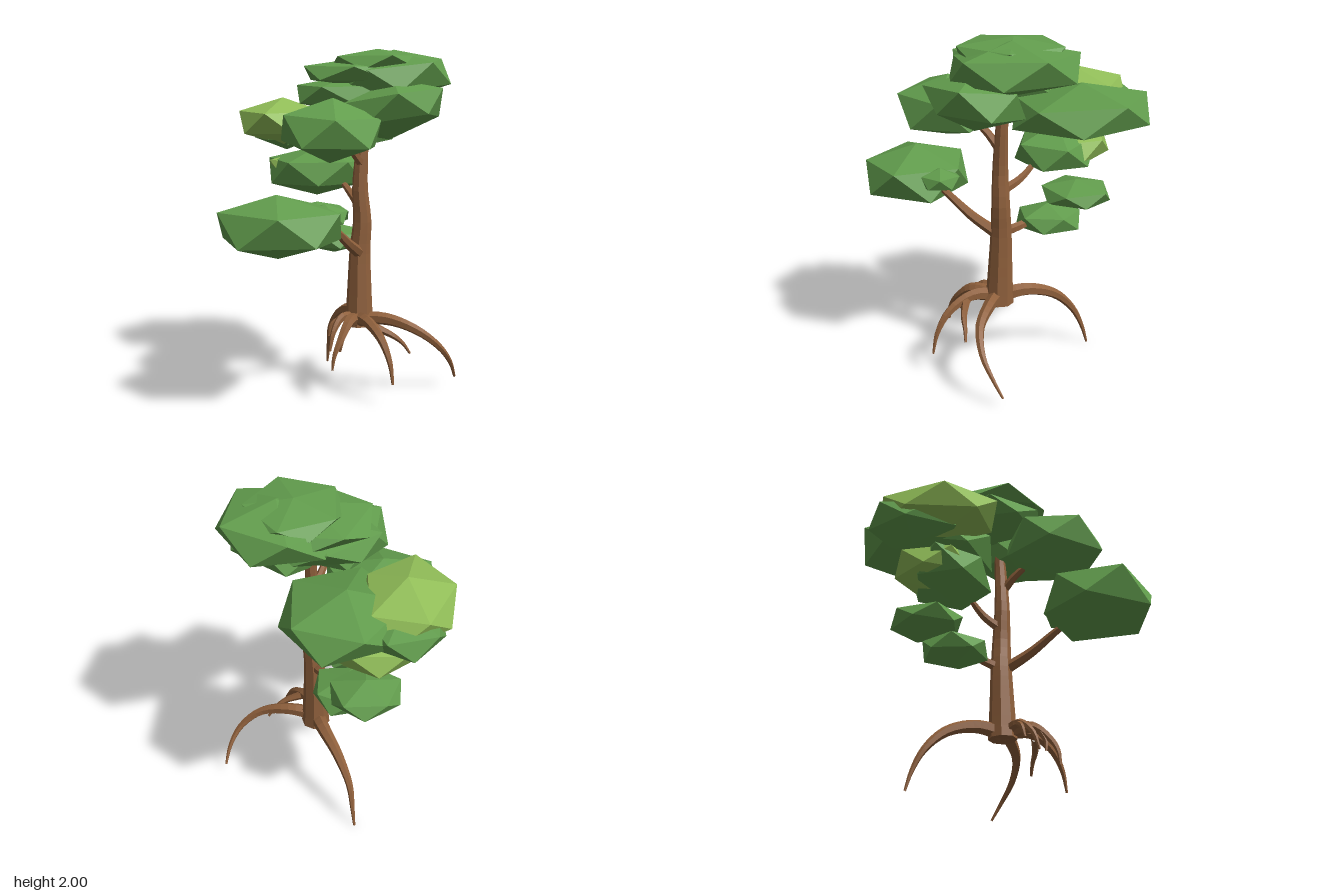
import * as THREE from 'three';
import { ConvexGeometry } from 'three/addons/geometries/ConvexGeometry.js';

const flat = (name, color) => {
  const m = new THREE.MeshStandardMaterial({ color, flatShading: true });
  m.name = name;
  return m;
};

// Tapered limb through a few points, radius shrinking from r0 to r1
function limb(name, points, r0, r1, material, sides = 6, power = 1) {
  const curve = new THREE.CatmullRomCurve3(points.map(p => new THREE.Vector3(...p)));
  const segments = points.length * 3;
  const geo = new THREE.TubeGeometry(curve, segments, 1, sides);
  const pos = geo.attributes.position;
  const v = new THREE.Vector3();
  for (let i = 0; i <= segments; i++) {
    const t = i / segments;
    const c = curve.getPointAt(t);
    const r = r0 + (r1 - r0) * Math.pow(t, power);
    for (let j = 0; j <= sides; j++) {
      const k = i * (sides + 1) + j;
      v.fromBufferAttribute(pos, k).sub(c).multiplyScalar(r).add(c);
      pos.setXYZ(k, v.x, v.y, v.z);
    }
  }
  geo.computeVertexNormals();
  const mesh = new THREE.Mesh(geo, material);
  mesh.name = name;
  return mesh;
}

// Faceted leaf clump: an upright, slightly uneven icosahedron fitted to a box;
// slope lifts it towards +x and +z
function clump(name, center, size, yaw, slope, material, random) {
  const pts = [];
  const add = (r, y, a) => {
    const x = r * Math.cos(a) + (random() - 0.5) * 0.08;
    const z = r * Math.sin(a) + (random() - 0.5) * 0.08;
    pts.push(new THREE.Vector3(x, y + slope[0] * x + slope[1] * z + (random() - 0.5) * 0.1, z));
  };
  add(0, 1, 0);
  add(0, -1, 0);
  for (let i = 0; i < 5; i++) {
    add(0.9, 0.45, yaw + i * Math.PI * 0.4);
    add(0.9, -0.45, yaw + (i + 0.5) * Math.PI * 0.4);
  }
  const geo = new ConvexGeometry(pts);
  geo.computeBoundingBox();
  const mid = geo.boundingBox.getCenter(new THREE.Vector3());
  const ext = geo.boundingBox.getSize(new THREE.Vector3());
  geo.translate(-mid.x, -mid.y, -mid.z);
  geo.scale(2 * size[0] / ext.x, 2 * size[1] / ext.y, 2 * size[2] / ext.z);
  geo.translate(...center);
  geo.computeVertexNormals();
  const mesh = new THREE.Mesh(geo, material);
  mesh.name = name;
  return mesh;
}

export function createModel() {
  const tree = new THREE.Group();
  tree.name = 'tree';
  const bark = flat('bark', 0x8f603c);
  const leaf = flat('leafGreen', 0x629d4d);
  const lightLeaf = flat('lightLeafGreen', 0x91be58);
  let seed = 7;
  const random = () => (seed = (seed * 16807) % 2147483647) / 2147483647;

  // Trunk with a closed base
  tree.add(limb('trunk', [
    [0.11, 0.38, -0.02], [0.11, 0.6, -0.025], [0.112, 0.83, -0.03],
    [0.125, 1.0, -0.03], [0.112, 1.2, -0.025], [0.122, 1.45, -0.035], [0.12, 1.68, -0.05],
  ], 0.085, 0.028, bark, 8, 0.85));
  const base = new THREE.Mesh(new THREE.CircleGeometry(0.085, 8).rotateX(Math.PI / 2), bark);
  base.name = 'trunkBase';
  base.position.set(0.11, 0.38, -0.02);
  tree.add(base);

  // Arching roots: path, start radius
  const roots = [
    [[[0.1, 0.42, -0.01], [0.28, 0.43, 0.01], [0.46, 0.375, 0.03], [0.59, 0.27, -0.01], [0.65, 0.16, -0.08], [0.67, 0.06, -0.14]], 0.045],
    [[[0.1, 0.42, -0.03], [0.04, 0.44, -0.17], [-0.06, 0.38, -0.32], [-0.14, 0.25, -0.43], [-0.165, 0.12, -0.49], [-0.18, 0.005, -0.52]], 0.048],
    [[[0.1, 0.42, 0], [0.18, 0.44, 0.13], [0.28, 0.37, 0.25], [0.34, 0.25, 0.31], [0.36, 0.13, 0.33]], 0.045],
    [[[0.1, 0.42, 0], [0.08, 0.44, 0.15], [0.05, 0.36, 0.25], [0.02, 0.27, 0.3], [0.01, 0.19, 0.31]], 0.045],
    [[[0.1, 0.42, 0], [0.03, 0.45, 0.08], [-0.01, 0.38, 0.16], [-0.025, 0.27, 0.2]], 0.035],
    [[[0.02, 0.44, 0.08], [-0.03, 0.41, 0.1], [-0.045, 0.34, 0.12]], 0.02],
    [[[0.22, 0.42, 0.16], [0.33, 0.37, 0.15], [0.39, 0.32, 0.13], [0.43, 0.26, 0.12]], 0.026],
    [[[0.06, 0.4, 0.2], [0.05, 0.34, 0.23], [0.04, 0.28, 0.23]], 0.02],
  ];
  for (const [path, r] of roots) tree.add(limb('root', path, r, 0.007, bark));

  // Branches: path, start radius
  const branches = [
    [[[0.11, 0.82, 0], [0.07, 0.9, 0.15], [0, 1.02, 0.33], [-0.08, 1.06, 0.45]], 0.035],
    [[[0.11, 0.82, -0.03], [0.05, 0.85, -0.13], [-0.08, 0.88, -0.25], [-0.2, 0.96, -0.38]], 0.032],
    [[[0.12, 1.08, -0.03], [0.05, 1.14, -0.13], [-0.05, 1.24, -0.22]], 0.032],
    [[[0.12, 1.34, -0.02], [0.08, 1.42, 0.06], [0.03, 1.52, 0.2]], 0.028],
  ];
  for (const [path, r] of branches) tree.add(limb('branch', path, r, 0.014, bark));

  // Leaf clumps: centre, half size, turn, slope
  const green = [
    [[-0.23, 1.045, 0.55], [0.34, 0.175, 0.305], 0.16, [0, 0]],
    [[-0.02, 1.08, 0.36], [0.12, 0.07, 0.12], 1.0, [0, 0]],
    [[0, 1.55, 0.3], [0.285, 0.18, 0.29], 0, [-0.1, 0]],
    [[0.3, 1.66, 0.08], [0.3, 0.17, 0.27], 0.07, [0.35, 0.1]],
    [[0.29, 1.845, -0.13], [0.335, 0.15, 0.35], 0.63, [0.2, -0.15]],
    [[0.05, 1.74, -0.06], [0.32, 0.11, 0.27], 0.7, [0, 0]],
    [[0.11, 1.86, -0.07], [0.32, 0.09, 0.31], 0.3, [0, 0]],
    [[0.2, 1.92, -0.1], [0.27, 0.08, 0.3], 1.1, [0, 0]],
    [[-0.1, 1.525, -0.46], [0.34, 0.155, 0.39], 0.5, [0, -0.2]],
    [[-0.42, 1.5, -0.49], [0.22, 0.12, 0.26], 0.0, [0, 0]],
    [[-0.21, 1.27, -0.3], [0.3, 0.15, 0.235], 0.8, [0, 0]],
    [[-0.09, 0.86, -0.28], [0.18, 0.09, 0.185], 0.6, [0, 0]],
    [[-0.22, 0.975, -0.425], [0.2, 0.085, 0.205], 0.2, [0, 0]],
  ];
  const light = [
    [[-0.43, 1.565, -0.345], [0.25, 0.145, 0.345], 0.42, [0, 0]],
    [[-0.25, 1.28, -0.37], [0.25, 0.12, 0.235], 0.15, [0, 0]],
  ];
  for (const c of green) tree.add(clump('leafClump', ...c, leaf, random));
  for (const c of light) tree.add(clump('lightLeafClump', ...c, lightLeaf, random));
  return tree;
}
